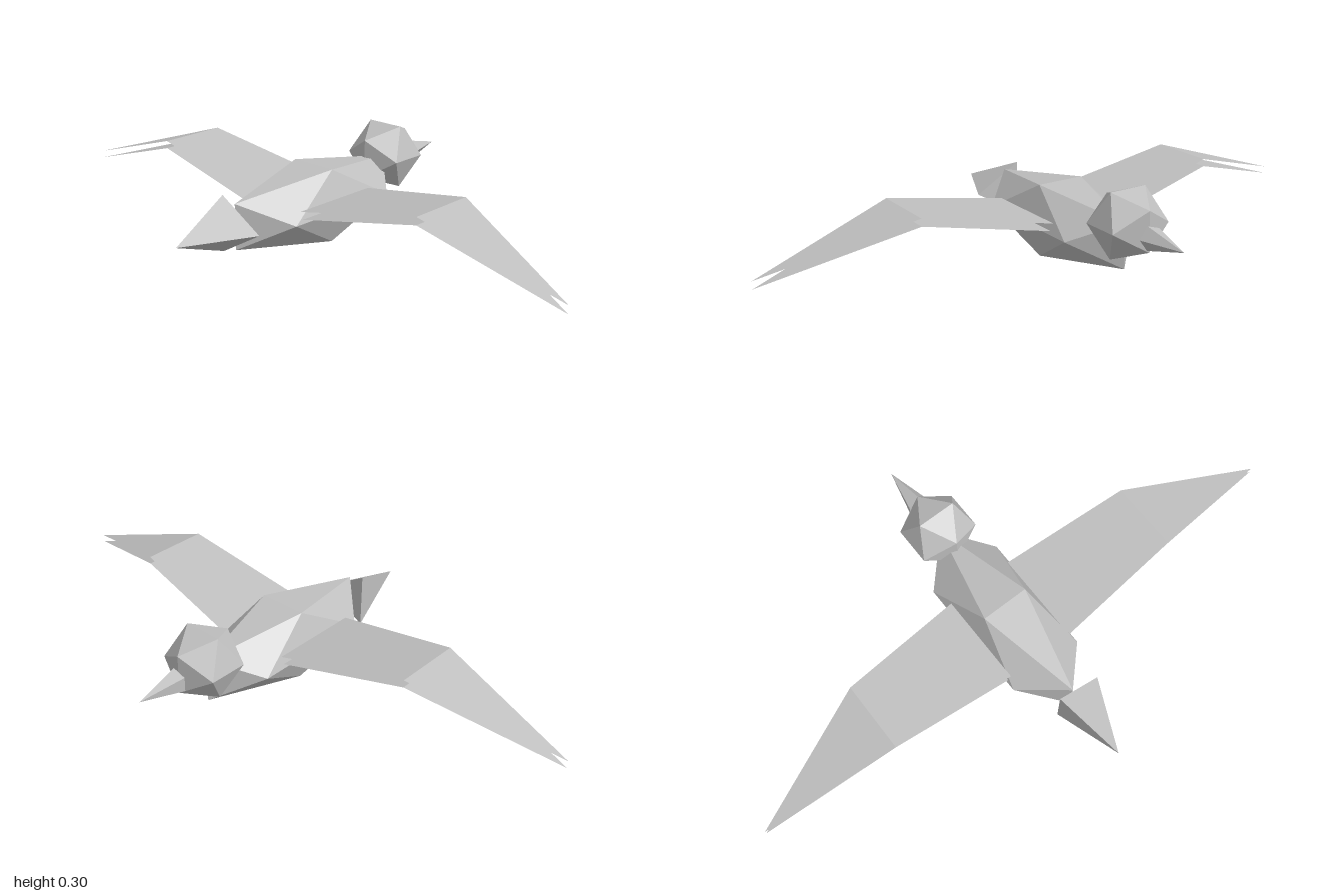
import * as THREE from 'three';

export function createModel() {
  const bird = new THREE.Group();
  bird.name = 'bird';
  const grey = new THREE.MeshStandardMaterial({ color: 0xbfbfbf });
  grey.name = 'plumageGrey';
  grey.flatShading = true;
  grey.side = THREE.DoubleSide; // the wings are open sheets

  const add = (name, geometry, x, y, z) => {
    const mesh = new THREE.Mesh(geometry, grey);
    mesh.name = name;
    mesh.position.set(x, y, z);
    bird.add(mesh);
  };

  // Faceted body and head: stretched icosahedra
  const blob = (rx, ry, rz) => new THREE.IcosahedronGeometry(1, 0).scale(rx, ry, rz);
  add('body', blob(0.153, 0.141, 0.4), 0, 0.12, 0.022);
  add('head', blob(0.123, 0.123, 0.123), 0, 0.2, -0.33);

  // Pointed cones along z, with one base corner towards +x
  const spike = (radius, length, sides, direction) => {
    const g = new THREE.ConeGeometry(radius, length, sides).rotateY(Math.PI / 2);
    return g.rotateX(direction * Math.PI / 2);
  };
  add('beak', spike(0.04, 0.15, 5, -1), 0, 0.184, -0.515);
  add('tail', spike(0.105, 0.23, 3, 1), 0, 0.12, 0.478);

  // Wing sheet: root, bend and tip, each as [x, y, back z, front z]
  const stations = [
    [0.115, 0.155, -0.11, 0.2],
    [0.54, 0.24, -0.055, 0.175],
    [1, 0.095, 0.112, 0.112],
  ];
  const wingSheet = (side, drop, up) => {
    const points = stations.flatMap(([x, y, back, front]) => [
      side * x, y - drop, back,
      side * x, y - drop, front,
    ]);
    const faces = [[0, 1, 3], [0, 3, 2], [2, 3, 4]];
    const index = faces.flatMap(([a, b, c]) => (side * up > 0 ? [a, b, c] : [a, c, b]));
    const g = new THREE.BufferGeometry();
    g.setAttribute('position', new THREE.Float32BufferAttribute(points, 3));
    g.setIndex(index);
    const flat = g.toNonIndexed();
    flat.computeVertexNormals();
    return flat;
  };
  for (const [name, side] of [['left', 1], ['right', -1]]) {
    add(name + 'WingTop', wingSheet(side, 0, 1), 0, 0, 0);
    add(name + 'WingUnderside', wingSheet(side, 0.025, -1), 0, 0, 0);
  }
  return bird;
}
